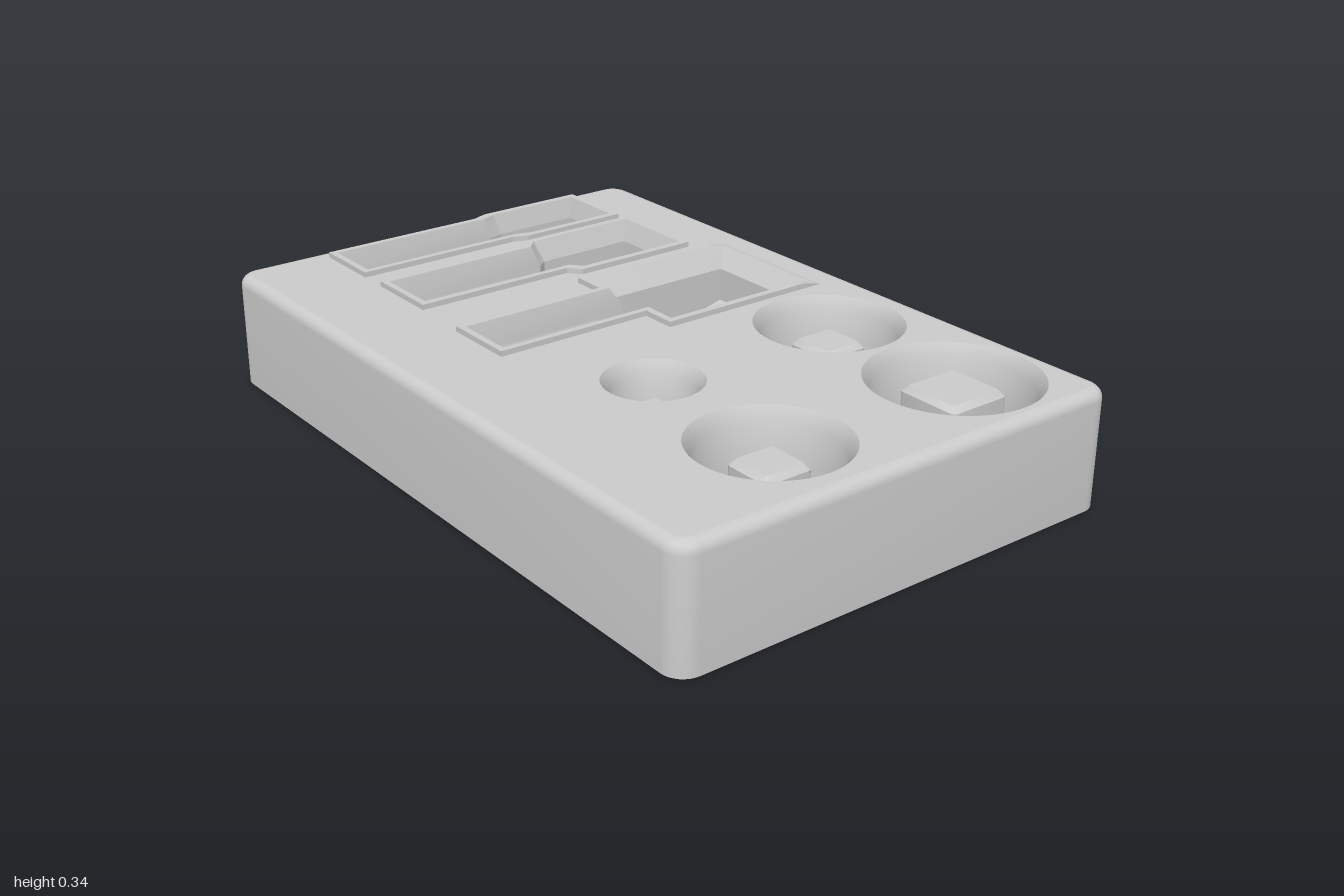
import * as THREE from 'three';
import { toCreasedNormals } from 'three/addons/utils/BufferGeometryUtils.js';

const TOP = 0.32, RIM = 0.335, MAGNET = 0.055;
const mat = new THREE.MeshStandardMaterial({ color: 0xcccccc });
const twoSided = new THREE.MeshStandardMaterial({ color: 0xcccccc, side: THREE.DoubleSide });

function mesh(name, geo, material = mat) {
  const m = new THREE.Mesh(geo, material);
  m.name = name;
  return m;
}

// Outlines are counter-clockwise points (x, -z) as seen from above.
const V = (x, z) => new THREE.Vector2(x, -z);

function circle(cx, cz, r, n = 48) {
  return Array.from({ length: n }, (_, i) => {
    const a = (i / n) * Math.PI * 2;
    return V(cx + r * Math.cos(a), cz - r * Math.sin(a));
  });
}

function roundRect(cx, cz, hx, hz, r, n = 8) {
  const pts = [];
  [[1, 1], [-1, 1], [-1, -1], [1, -1]].forEach(([sx, sy], q) => {
    for (let i = 0; i <= n; i++) {
      const a = (q + i / n) * Math.PI / 2;
      pts.push(V(cx + sx * (hx - r) + r * Math.cos(a), cz - sy * (hz - r) - r * Math.sin(a)));
    }
  });
  return pts;
}

// Skin through a list of [outline, height]; height may be a function of z.
function band(loops, crease = 0.6) {
  const pos = [];
  const at = ([pts, y], i) => {
    const p = pts[i % pts.length];
    return [p.x, typeof y === 'function' ? y(-p.y) : y, -p.y];
  };
  for (let k = 0; k + 1 < loops.length; k++) {
    for (let i = 0; i < loops[k][0].length; i++) {
      const a = at(loops[k], i), b = at(loops[k], i + 1);
      const c = at(loops[k + 1], i + 1), d = at(loops[k + 1], i);
      pos.push(...a, ...b, ...c, ...a, ...c, ...d);
    }
  }
  const g = new THREE.BufferGeometry();
  g.setAttribute('position', new THREE.Float32BufferAttribute(pos, 3));
  return toCreasedNormals(g, crease);
}

// Flat face with holes
function cap(outline, y, holes = [], down = false) {
  const flip = p => (down ? p.map(v => new THREE.Vector2(v.x, -v.y)) : p);
  const s = new THREE.Shape(flip(outline));
  s.holes = holes.map(h => new THREE.Path(flip(h)));
  const g = new THREE.ShapeGeometry(s);
  g.rotateX(down ? Math.PI / 2 : -Math.PI / 2);
  return g.translate(0, y, 0);
}

// Strip through (z, y) points, spanning two x positions (or two arrays of corners)
function strip(rows) {
  const pos = [];
  for (let i = 0; i + 1 < rows.length; i++) {
    const [a, b] = rows[i], [d, c] = rows[i + 1];
    pos.push(...a, ...d, ...c, ...a, ...c, ...b);
  }
  const g = new THREE.BufferGeometry();
  g.setAttribute('position', new THREE.Float32BufferAttribute(pos, 3));
  return toCreasedNormals(g, 0.4);
}

// T-shaped pocket outline: wide head at the back, narrow shaft to the front
function pocketOutline(p, dh, ds) {
  const h = p.hw - dh, s = p.sw - ds, zs = p.zs - dh;
  const half = [[s, p.zf - ds], [s, zs + p.ch], [h, zs], [h, p.zb + 0.06], [h, p.zb + dh]];
  return [...half.map(([x, z]) => V(p.cx + x, z)),
    ...half.reverse().map(([x, z]) => V(p.cx - x, z))];
}

function pocket(p) {
  const g = new THREE.Group();
  g.name = 'toolPocket';
  // raised rim, sloping down at the far back
  const rimY = z => Math.min(RIM, TOP + 0.015 * (z + 0.58) / 0.07);
  const outer = pocketOutline(p, 0, 0);
  const inner = pocketOutline(p, p.dh, 0.03);
  g.add(mesh('pocketRimAndWalls', band([
    [outer, TOP - 0.01], [outer, rimY], [pocketOutline(p, 0.02, 0.018), rimY],
    [inner, 0.275], [inner, 0.09],
  ], 0.2)));

  // floor: hollow under the head, raised neck, deep shaft
  const profile = [], z0 = p.zb + p.dh, n = 16;
  for (let i = 0; i <= n; i++) {
    const t = i / n;
    profile.push([z0 + (p.zn - z0) * t, 0.18 - 0.03 * Math.sin(Math.PI * t)]);
  }
  profile.push([p.zn, 0.235], [-0.02, 0.235], [-0.02, 0.12], [p.zf, 0.12]);
  const w = p.hw - 0.01;
  g.add(mesh('pocketFloor', strip(profile.map(([z, y]) =>
    [[p.cx - w, y, z], [p.cx + w, y, z]])), twoSided));

  // leaning sides of the shaft
  for (const s of [-1, 1]) {
    const a = p.cx + s * (p.sw - 0.03), b = p.cx + s * (p.sw - 0.06);
    g.add(mesh('shaftSide', strip([
      [[a, 0.26, -0.02], [a, 0.26, p.zf]],
      [[b, 0.12, -0.02], [b, 0.12, p.zf]],
      [[a, 0.12, -0.02], [a, 0.26, -0.02]],
    ].slice(0, 2)), twoSided));
    const end = new THREE.BufferGeometry();
    end.setAttribute('position', new THREE.Float32BufferAttribute(
      [a, 0.26, -0.02, b, 0.12, -0.02, a, 0.12, -0.02], 3));
    end.computeVertexNormals();
    g.add(mesh('shaftSideEnd', end, twoSided));
  }
  return { group: g, outer };
}

// Round well with a square peg in the middle
function well({ x, z, r, peg }) {
  const g = new THREE.Group();
  g.name = 'roundWell';
  const rim = circle(x, z, r), wall = circle(x, z, r - 0.023), floor = 0.13;
  g.add(mesh('wellWall', band([[rim, TOP], [wall, TOP - 0.035], [wall, floor]])));
  g.add(mesh('wellFloor', cap(wall, floor)));
  const side = roundRect(x, z, peg, peg, 0.012, 3);
  const top = roundRect(x, z, peg - 0.014, peg - 0.014, 0.006, 3);
  const pegTop = 0.2 + peg;
  g.add(mesh('squarePeg', band([[side, floor], [side, pegTop - 0.015], [top, pegTop]])));
  g.add(mesh('squarePegTop', cap(top, pegTop)));
  return { group: g, outer: rim };
}

export function createModel() {
  const root = new THREE.Group();
  root.name = 'toolTray';

  const recesses = [
    pocket({ cx: -0.841, hw: 0.12, sw: 0.103, zb: -0.465, zs: -0.14, ch: 0.045, zf: 0.395, zn: -0.17, dh: 0.035 }),
    pocket({ cx: -0.542, hw: 0.147, sw: 0.112, zb: -0.475, zs: -0.1, ch: 0.03, zf: 0.395, zn: -0.13, dh: 0.042 }),
    pocket({ cx: -0.145, hw: 0.205, sw: 0.105, zb: -0.57, zs: -0.05, ch: 0, zf: 0.405, zn: -0.135, dh: 0.06 }),
    well({ x: 0.285, z: -0.4, r: 0.2, peg: 0.07 }),
    well({ x: 0.73, z: -0.4, r: 0.225, peg: 0.092 }),
    well({ x: 0.3, z: 0.19, r: 0.13, peg: 0.05 }),
    well({ x: 0.73, z: 0.19, r: 0.2, peg: 0.07 }),
  ];
  recesses.forEach(r => root.add(r.group));

  // outer skin with a rounded top edge
  const R = 0.03, loops = [[roundRect(0, 0, 1, 0.665, 0.06), 0]];
  for (let i = 0; i <= 6; i++) {
    const a = (i / 6) * Math.PI / 2, d = R * (1 - Math.cos(a));
    loops.push([roundRect(0, 0, 1 - d, 0.665 - d, 0.06 - d), TOP - R + R * Math.sin(a)]);
  }
  root.add(mesh('traySides', band(loops)));
  root.add(mesh('trayTop', cap(loops[loops.length - 1][0], TOP, recesses.map(r => r.outer))));

  // shallow round recesses in the underside
  const spots = [[-0.39, -0.02], [0.39, -0.02]];
  for (const x of [-0.77, 0, 0.77]) for (const z of [-0.44, 0.42]) spots.push([x, z]);
  const rings = spots.map(([x, z]) => circle(x, z, 0.17));
  root.add(mesh('trayBottom', cap(loops[0][0], 0, rings, true)));
  rings.forEach(c => {
    root.add(mesh('bottomRecessWall', band([[c, MAGNET], [c, 0]])));
    root.add(mesh('bottomRecessCeiling', cap(c, MAGNET, [], true)));
  });
  return root;
}
